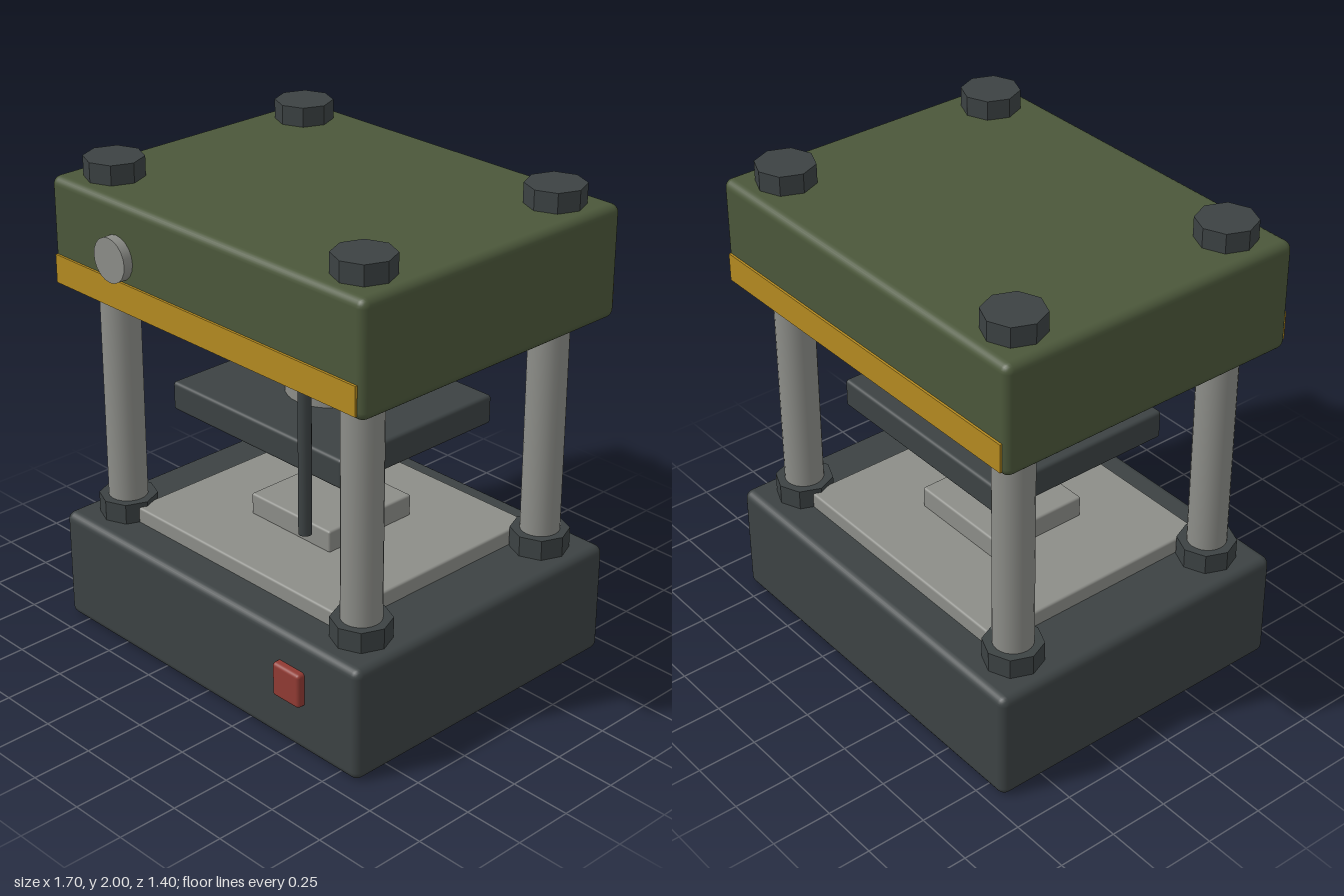
import * as THREE from 'three';
import { RoundedBoxGeometry } from 'three/addons/geometries/RoundedBoxGeometry.js';

const material = (name, color, flatShading = false) => {
  const m = new THREE.MeshStandardMaterial({ color, flatShading });
  m.name = name;
  return m;
};

export function createModel() {
  const press = new THREE.Group();
  press.name = 'hydraulicPress';

  const green = material('olivePaint', 0x4b573a);
  const dark = material('darkIron', 0x3c4243);
  const steel = material('steel', 0x8c8d88);
  const yellow = material('warningYellow', 0xb48a20);
  const red = material('buttonRed', 0x903a33);

  const CZ = -0.015; // centre line of the frame

  const add = (name, geometry, mat, x, y, z) => {
    const mesh = new THREE.Mesh(geometry, mat);
    mesh.name = name;
    mesh.position.set(x, y, z);
    press.add(mesh);
    return mesh;
  };
  // Rounded block standing from y0 to y1
  const block = (name, mat, w, d, y0, y1, r, x = 0, z = CZ) =>
    add(name, new RoundedBoxGeometry(w, y1 - y0, d, 3, r), mat, x, (y0 + y1) / 2, z);
  // Upright cylinder from y0 to y1
  const post = (name, mat, r, y0, y1, x = 0, z = CZ, sides = 32) => {
    let geometry = new THREE.CylinderGeometry(r, r, y1 - y0, sides);
    if (sides < 10) { // crisp facets for nuts
      geometry = geometry.toNonIndexed();
      geometry.computeVertexNormals();
    }
    return add(name, geometry, mat, x, (y0 + y1) / 2, z);
  };

  // Base and head
  block('base', dark, 1.7, 1.37, 0, 0.475, 0.035);
  block('head', green, 1.7, 1.335, 1.465, 1.92, 0.035);

  // Four columns with octagonal nuts above and below
  for (const sx of [-1, 1]) {
    for (const sz of [-1, 1]) {
      const x = sx * 0.675, z = CZ + sz * 0.493;
      post('column', steel, 0.08, 0.47, 1.48, x, z, 24);
      post('lowerNut', dark, 0.119, 0.47, 0.56, x, z, 8);
      post('upperNut', dark, 0.119, 1.91, 2.0, x, z, 8);
    }
  }

  // Bed plate and workpiece
  block('bedPlate', steel, 1.17, 1.05, 0.465, 0.54, 0.01);
  block('workpiece', steel, 0.45, 0.45, 0.535, 0.63, 0.01);

  // Ram: collar, piston and pressing plate
  post('ramCollar', green, 0.273, 1.38, 1.475);
  post('piston', steel, 0.182, 1.09, 1.39);
  block('ramPlate', dark, 0.95, 0.815, 0.975, 1.097, 0.015);

  // Guide rod hanging at the front
  post('guideRod', dark, 0.026, 0.85, 1.48, 0.455, 0.553, 12);

  // Warning stripes on the front and back of the head
  for (const [name, z] of [['frontStripe', 0.6595], ['backStripe', -0.687]]) {
    add(name, new THREE.BoxGeometry(1.65, 0.117, 0.0098), yellow, 0, 1.548, z);
  }

  // Pressure gauge and start button
  const gauge = add('gauge', new THREE.CylinderGeometry(0.09, 0.09, 0.05, 20), steel, -0.458, 1.695, 0.667);
  gauge.rotation.x = Math.PI / 2;
  add('startButton', new RoundedBoxGeometry(0.145, 0.145, 0.06, 3, 0.015), red, 0.5, 0.278, 0.673);

  return press;
}
